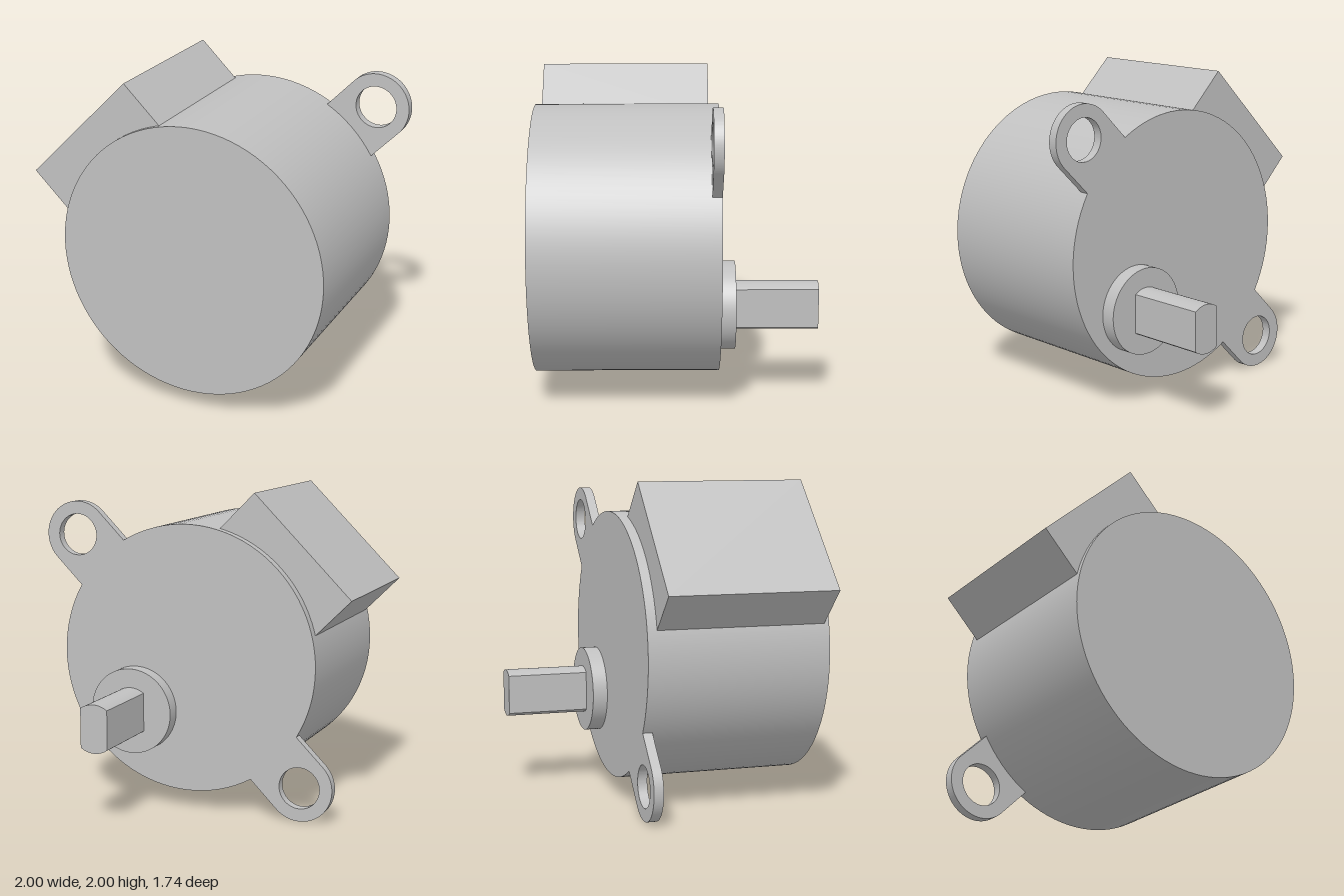
import * as THREE from 'three';
import { toCreasedNormals } from 'three/addons/utils/BufferGeometryUtils.js';

const RADIUS = 0.84;
const BACK = -0.27;

export function createModel() {
  const model = new THREE.Group();
  model.name = 'gearedMotor';
  const metal = new THREE.MeshStandardMaterial({ color: 0xc0c0c0 });
  metal.name = 'grey metal';

  // Everything is placed around the axis of the can
  const motor = new THREE.Group();
  motor.name = 'motor';
  motor.position.set(0.04, 0.96, 0);
  model.add(motor);

  const add = (name, geometry) => {
    const mesh = new THREE.Mesh(geometry, metal);
    mesh.name = name;
    motor.add(mesh);
    return mesh;
  };
  const disc = (radius, z0, z1) =>
    new THREE.CylinderGeometry(radius, radius, z1 - z0, 96).rotateX(Math.PI / 2).translate(0, 0, (z0 + z1) / 2);
  const extrude = (shape, z0, z1) =>
    toCreasedNormals(
      new THREE.ExtrudeGeometry(shape, { depth: z1 - z0, bevelEnabled: false, curveSegments: 48 }).translate(0, 0, z0),
      0.5
    );

  // Can
  add('can', disc(RADIUS, BACK, 0.87));

  // Mounting ears, drawn along +x with a root that follows the can
  const earRadius = 0.21, earDistance = 1.054;
  const rootAngle = Math.asin(earRadius / RADIUS);
  const ear = new THREE.Shape();
  ear.absarc(earDistance, 0, earRadius, -Math.PI / 2, Math.PI / 2, false);
  ear.absarc(0, 0, RADIUS - 0.002, rootAngle, -rootAngle, true);
  ear.closePath();
  ear.holes.push(new THREE.Path().absarc(earDistance, 0, 0.13, 0, Math.PI * 2, true));
  const earGeometry = extrude(ear, BACK, -0.21);
  add('leftMountingEar', earGeometry).rotation.z = Math.PI / 4;
  add('rightMountingEar', earGeometry).rotation.z = -Math.PI * 3 / 4;

  // Wiring box, sunk into the upper right of the can
  const inner = 0.62, outer = 1.032;
  const box = add('wiringBox', new THREE.BoxGeometry(outer - inner, 0.877, 1.05).translate((inner + outer) / 2, 0, 0.315));
  box.rotation.z = Math.PI * 3 / 4;

  // Off-centre boss and output shaft with two flats
  const shaftX = 0.343, shaftY = -0.34;
  add('shaftBoss', disc(0.27, -0.363, BACK)).position.set(shaftX, shaftY, 0);

  const shaftRadius = 0.15;
  const flat = Math.acos(0.0885 / shaftRadius);
  const profile = new THREE.Shape();
  profile.absarc(0, 0, shaftRadius, flat, Math.PI - flat, false);
  profile.absarc(0, 0, shaftRadius, Math.PI + flat, Math.PI * 2 - flat, false);
  profile.closePath();
  add('outputShaft', extrude(profile, -0.873, -0.363)).position.set(shaftX, shaftY, 0);

  return model;
}
